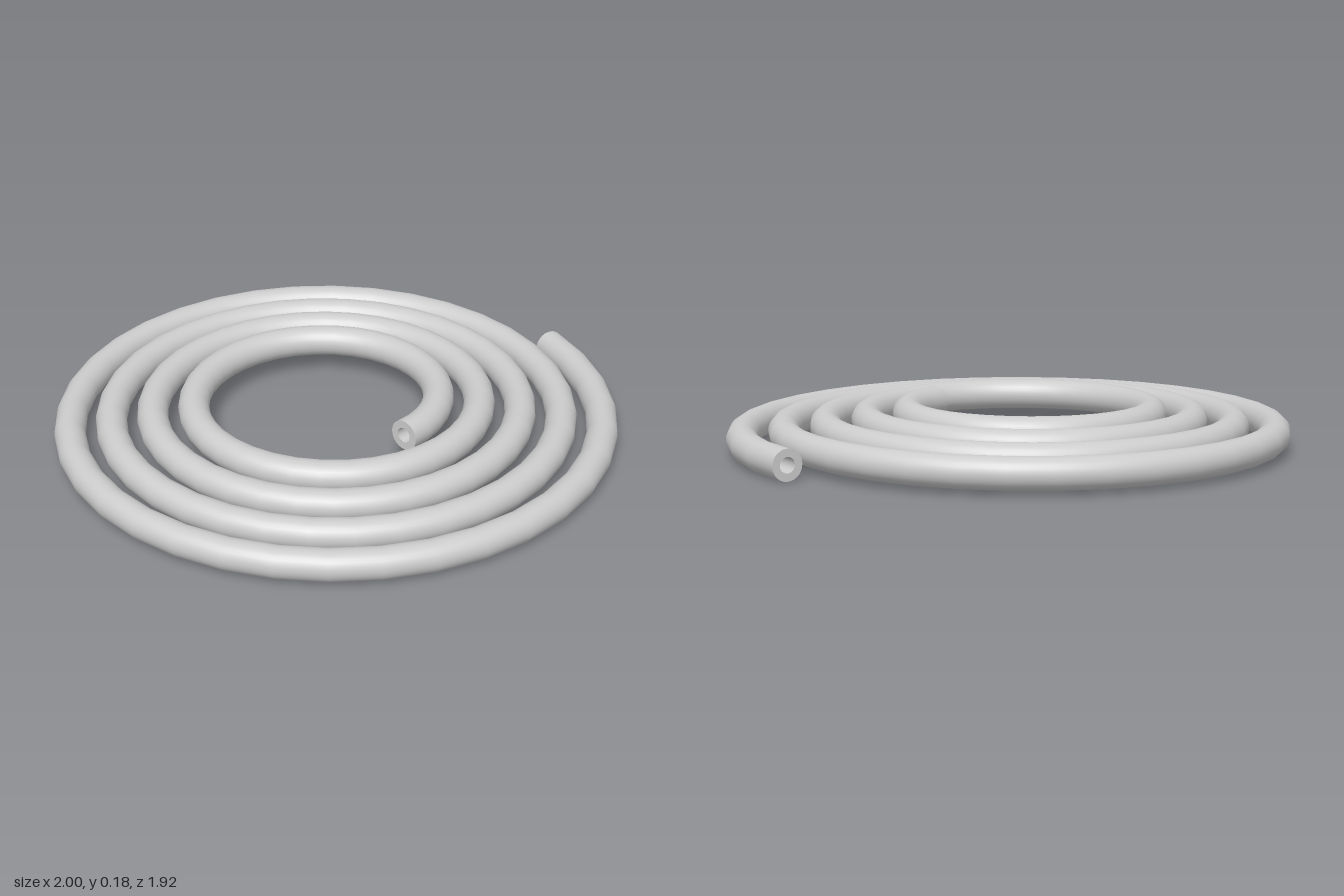
import * as THREE from 'three';

const TURNS = 4.215, SEGMENTS = 150, SIDES = 28;
const TUBE_RADIUS = 0.054, BORE_RADIUS = 0.027;
const START_RADIUS = 0.981, PITCH = 0.144, RISE = 0.018; // per turn

// Flat spiral that winds inwards and climbs slightly
class Spiral extends THREE.Curve {
  getPoint(t, target = new THREE.Vector3()) {
    const turn = t * TURNS;
    const angle = turn * Math.PI * 2;
    const r = START_RADIUS - PITCH * turn;
    return target.set(
      -0.037 + r * Math.cos(angle),
      TUBE_RADIUS + RISE * turn,
      -0.0385 + r * Math.sin(angle)
    );
  }
  // Even steps by angle rather than by length
  getPointAt(u, target) {
    return this.getPoint(u, target);
  }
  // Direction from the neighbouring steps, so the ends are cut square to their last segment
  getTangentAt(u, target = new THREE.Vector3()) {
    const step = 1 / SEGMENTS;
    return target
      .copy(this.getPoint(Math.min(u + step, 1)))
      .sub(this.getPoint(Math.max(u - step, 0)))
      .normalize();
  }
}

export function createModel() {
  const group = new THREE.Group();
  group.name = 'coiledTube';
  const material = new THREE.MeshStandardMaterial({ color: 0xcccccc });
  const innerMaterial = new THREE.MeshStandardMaterial({ color: 0xcccccc, side: THREE.DoubleSide });
  const path = new Spiral();

  const add = (name, geometry, mat) => {
    const mesh = new THREE.Mesh(geometry, mat);
    mesh.name = name;
    group.add(mesh);
    return mesh;
  };

  // Outer skin and hollow bore
  add('tubeWall', new THREE.TubeGeometry(path, SEGMENTS, TUBE_RADIUS, SIDES), material);
  add('tubeBore', new THREE.TubeGeometry(path, SEGMENTS, BORE_RADIUS, SIDES), innerMaterial);

  // Ring-shaped faces closing the wall at both ends
  for (const [name, u, sign] of [['outerEnd', 0, -1], ['innerEnd', 1, 1]]) {
    const end = add(name, new THREE.RingGeometry(BORE_RADIUS, TUBE_RADIUS, SIDES), material);
    end.position.copy(path.getPoint(u));
    end.lookAt(end.position.clone().addScaledVector(path.getTangentAt(u), sign));
  }
  return group;
}
